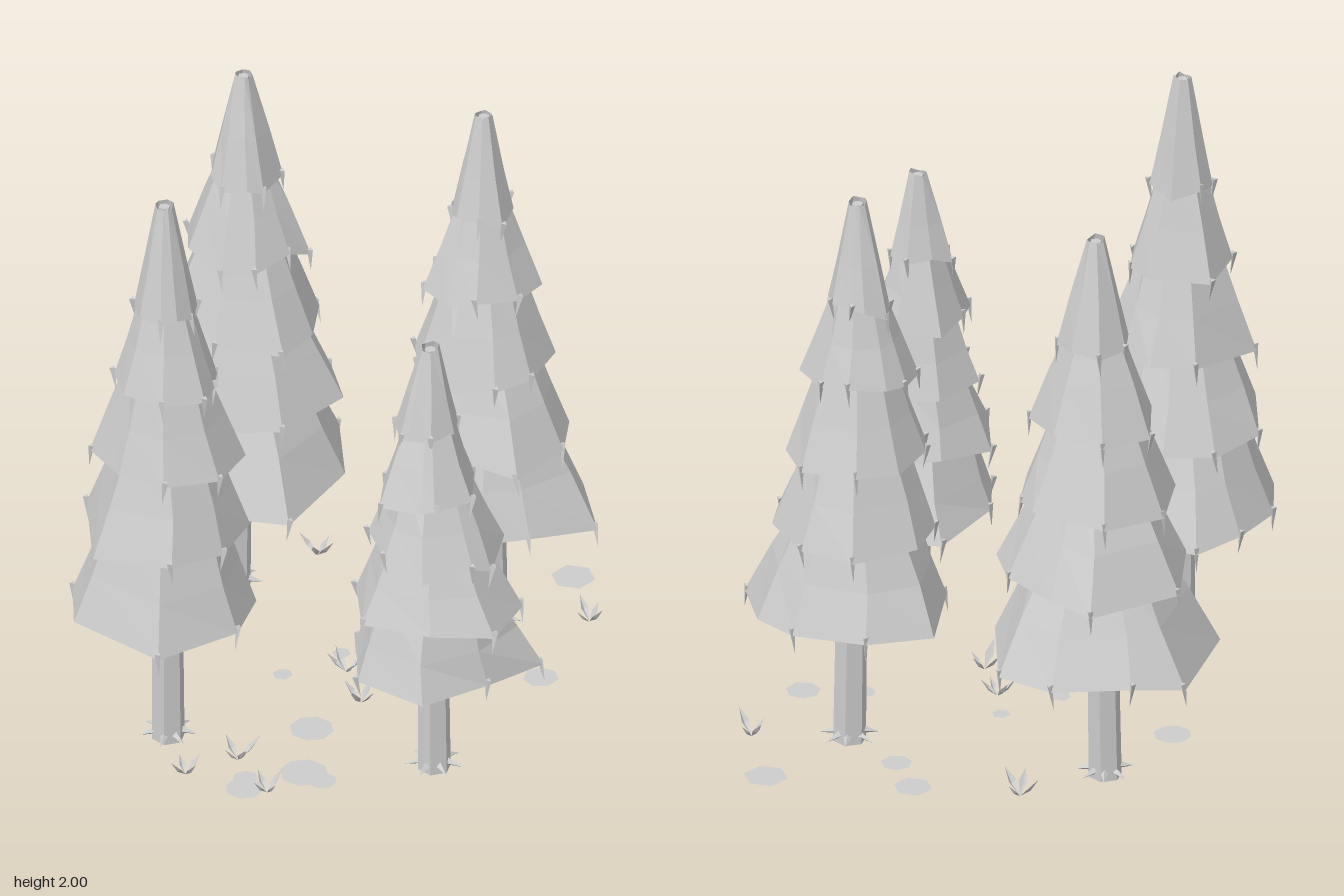
import * as THREE from 'three';

const grey = new THREE.MeshStandardMaterial({ color: 0xcccccc, flatShading: true, side: THREE.DoubleSide });
grey.name = 'light grey';

// Small seeded generator, returns -1..1
let seed = 7;
const jitter = () => {
  seed = (seed * 16807) % 2147483647;
  return (seed / 2147483647) * 2 - 1;
};

function add(parent, name, geometry) {
  const mesh = new THREE.Mesh(geometry, grey);
  mesh.name = name;
  parent.add(mesh);
  return mesh;
}

// Skin a list of closed rings (arrays of Vector3)
function loft(rings) {
  const n = rings[0].length;
  const index = [];
  for (let r = 0; r < rings.length - 1; r++) {
    for (let i = 0; i < n; i++) {
      const a = r * n + i, b = r * n + (i + 1) % n;
      index.push(a, b, a + n, b, b + n, a + n);
    }
  }
  const geometry = new THREE.BufferGeometry().setFromPoints(rings.flat());
  geometry.setIndex(index);
  geometry.computeVertexNormals();
  return geometry;
}

// Each tree: tip position, trunk foot offset, height and the [x, z] corners of its lowest skirt
const trees = [
  { x: -0.41, z: -0.45, foot: [-0.025, 0.02], h: 1.9, hem: [[0.05, -0.35], [0.24, -0.275], [0.33, 0.02], [0.22, 0.31], [-0.08, 0.35], [-0.35, 0.19], [-0.34, -0.19], [-0.19, -0.28]] },
  { x: 0.37, z: -0.4, foot: [0.025, -0.005], h: 1.9, hem: [[-0.1, -0.28], [0.14, -0.26], [0.28, -0.16], [0.38, 0.06], [0.2, 0.22], [0.07, 0.27], [-0.135, 0.23], [-0.26, 0.1], [-0.29, -0.165]] },
  { x: -0.44, z: 0.48, foot: [0.005, -0.03], h: 2, hem: [[-0.13, -0.32], [0.12, -0.29], [0.27, -0.1], [0.26, 0.11], [0.055, 0.31], [-0.25, 0.165], [-0.3, -0.025], [-0.24, -0.2]] },
  { x: 0.4, z: 0.435, foot: [0.01, -0.01], h: 1.57, hem: [[-0.15, -0.27], [0.085, -0.3], [0.18, -0.28], [0.34, -0.09], [0.21, 0.11], [0.04, 0.275], [-0.19, 0.18], [-0.245, -0.03]] },
];
const hemHeight = [0.252, 0.4, 0.535, 0.675, 0.81];
const hemScale = [1, 0.88, 0.73, 0.56, 0.33];

function makeTree({ x, z, foot, h, hem }) {
  const tree = new THREE.Group();
  tree.name = 'tree';
  tree.position.set(x, 0, z);

  // Six-sided tapering trunk, leaning slightly from its foot to the tip
  const profile = [[0.053, 0], [0.05, 0.3 * h], [0.018, h - 0.015], [0, h - 0.015]];
  const trunk = new THREE.LatheGeometry(profile.map(p => new THREE.Vector2(...p)), 6);
  const pos = trunk.attributes.position;
  for (let i = 0; i < pos.count; i++) {
    const lean = 1 - pos.getY(i) / h;
    pos.setX(i, pos.getX(i) + foot[0] * lean);
    pos.setZ(i, pos.getZ(i) + foot[1] * lean);
  }
  add(tree, 'trunk', trunk);

  // Pointed roots
  for (let i = 0; i < 7; i++) {
    const root = add(tree, 'root', new THREE.ConeGeometry(0.021, 0.08, 4));
    const a = i * Math.PI * 2 / 7 + jitter() * 0.2;
    root.rotation.set(0, -a, -1.8, 'YXZ');
    root.position.set(foot[0] + Math.cos(a) * 0.054, 0.027, foot[1] + Math.sin(a) * 0.054);
  }

  // Overlapping branch skirts with shallow undersides
  hemHeight.forEach((level, tier) => {
    const last = tier === hemHeight.length - 1;
    const y = level * h;
    const top = last ? h : (hemHeight[tier + 1] + 0.045) * h;
    const topRadius = last ? 0.028 : hemScale[tier + 1] * 0.19;
    const rings = [[], [], [], []];
    const spikes = [];
    hem.forEach(([cx, cz], i) => {
      const a = Math.atan2(cz, cx) + tier * 0.85;
      const own = Math.hypot(cx, cz);
      // Upper skirts are a little rounder than the lowest one
      const r = (tier ? (own * 0.7 + 0.09) * (1 + jitter() * 0.06) : own) * hemScale[tier];
      const at = (radius, height, swing = 0) =>
        new THREE.Vector3(Math.cos(a + swing) * radius, height, Math.sin(a + swing) * radius);
      const edge = y - (r / hemScale[tier] - 0.3) * 0.35 + jitter() * 0.012;
      rings[0].push(at(topRadius, top + (last ? jitter() * 0.008 - 0.008 : 0)));
      rings[1].push(at(topRadius + (r - topRadius) * 0.56, y + (top - y) * 0.42, jitter() * 0.05));
      rings[2].push(at(r, edge));
      rings[3].push(at(Math.min(0.045, r * 0.5), y + 0.08));
      if ((i + tier) % 3 !== 2) spikes.push(at(r * 0.99, edge - 0.02));
    });
    add(tree, 'branchSkirt', loft(rings));

    // Drooping tips at the corners
    for (const p of spikes) {
      const tip = add(tree, 'droopingTip', new THREE.ConeGeometry(0.011, 0.085, 3));
      tip.rotation.set(Math.PI + jitter() * 0.2, 0, jitter() * 0.2);
      tip.position.copy(p);
    }
  });
  return tree;
}

// Tuft of folded, pointed leaves
function makePlant(x, z) {
  const plant = new THREE.Group();
  plant.name = 'plant';
  plant.position.set(x, 0, z);
  const blade = new THREE.BufferGeometry().setFromPoints([
    new THREE.Vector3(0, 0.008, 0), new THREE.Vector3(0.032, 0.045, 0.014),
    new THREE.Vector3(0.065, 0.08, 0), new THREE.Vector3(0.036, 0.034, 0),
    new THREE.Vector3(0.032, 0.045, -0.014),
  ]);
  blade.setIndex([0, 1, 3, 1, 2, 3, 0, 3, 4, 3, 2, 4]);
  blade.computeVertexNormals();
  const start = jitter() * 3;
  for (let i = 0; i < 4; i++) {
    const leaf = add(plant, 'leaf', blade);
    leaf.rotation.y = start + i * 1.5 + jitter() * 0.4;
    leaf.scale.setScalar(0.9 + jitter() * 0.2);
  }
  return plant;
}

export function createModel() {
  const model = new THREE.Group();
  model.name = 'pineGrove';
  trees.forEach(t => model.add(makeTree(t)));

  // Undergrowth
  [[0.02, -0.025], [0.105, 0.135], [-0.06, 0.7], [0.69, -0.48], [-0.19, 0.54], [-0.33, 0.66], [-0.22, -0.65]]
    .forEach(p => model.add(makePlant(...p)));

  // Flat ground patches: x, z, radius, sides
  [
    [0.12, -0.67, 0.062, 6], [0.58, -0.72, 0.07, 6], [0.615, -0.14, 0.056, 7], [0.43, -0.1, 0.037, 7],
    [-0.02, -0.13, 0.03, 6], [-0.17, 0.03, 0.032, 6], [-0.01, 0.31, 0.07, 8], [0.025, 0.56, 0.077, 8],
    [0.09, 0.59, 0.047, 8], [-0.145, 0.63, 0.04, 7], [-0.135, 0.69, 0.06, 8], [-0.57, -0.125, 0.06, 8],
    [0.21, -0.53, 0.05, 7],
  ].forEach(([x, z, r, sides]) => {
    const patch = add(model, 'groundPatch', new THREE.CircleGeometry(r, sides));
    patch.rotation.x = -Math.PI / 2;
    patch.position.set(x, 0.004, z);
  });
  return model;
}
